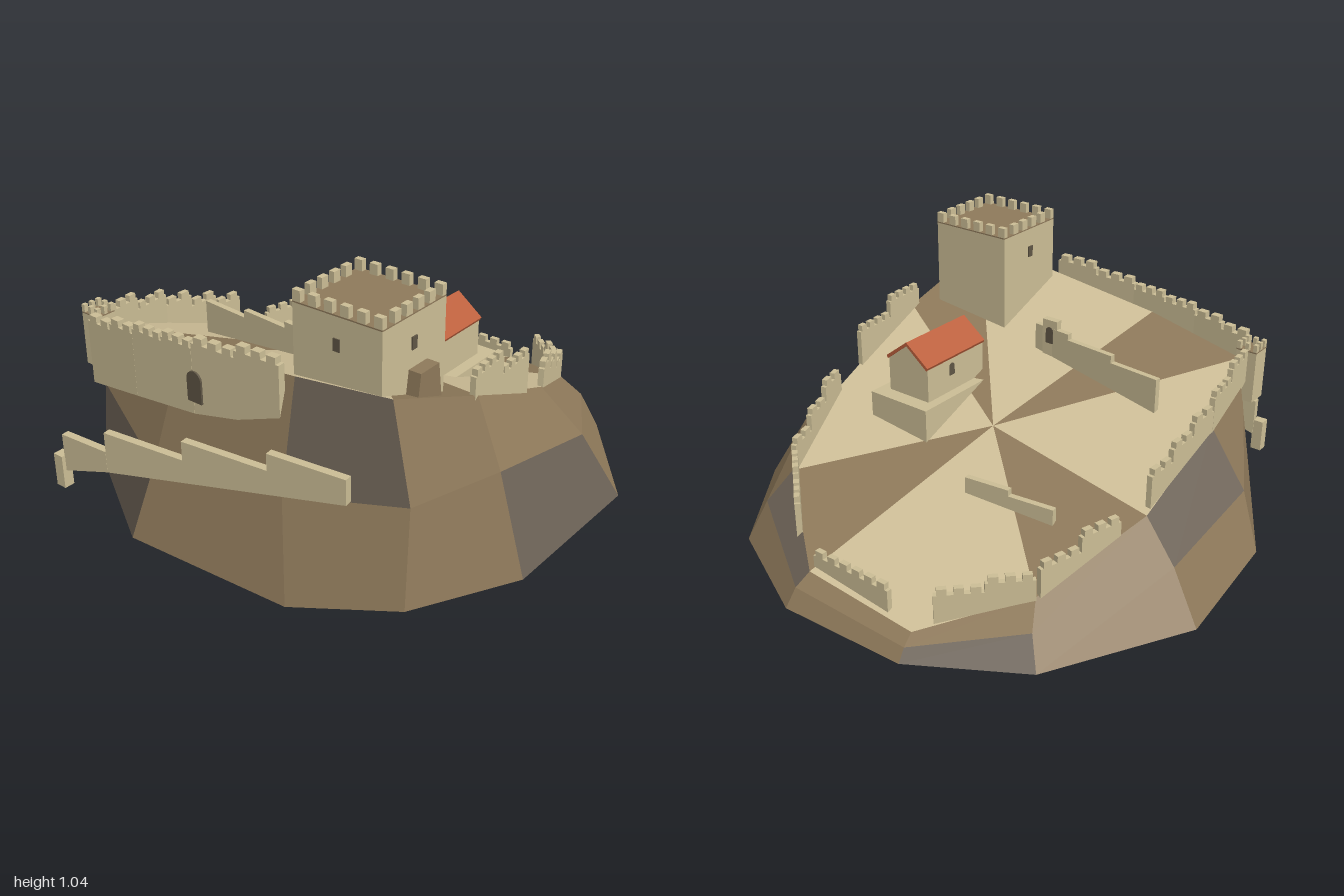
import * as THREE from 'three';

const mat = (name, color) => Object.assign(new THREE.MeshStandardMaterial({ color }), { name });
const earth = mat('earth', 0x8e795a);
const rock = mat('rock', 0x6b6155);
const sand = mat('sand', 0xcfbf98);
const stone = mat('stone', 0xcbbd95);
const dark = mat('opening', 0x5f5544);
const tile = mat('roofTile', 0xbb5f3c);

// Height of the sloping hilltop
const ground = (x, z) => .438 + .11 * x + .38 * z;

function add(parent, name, geo, material, x = 0, y = 0, z = 0, ry = 0) {
  const m = new THREE.Mesh(geo, material);
  m.name = name;
  m.position.set(x, y, z);
  m.rotation.y = ry;
  parent.add(m);
  return m;
}
// box given by its limits
function block(parent, name, material, x0, x1, y0, y1, z0, z1) {
  return add(parent, name, new THREE.BoxGeometry(x1 - x0, y1 - y0, z1 - z0), material,
    (x0 + x1) / 2, (y0 + y1) / 2, (z0 + z1) / 2);
}
function poly(points) {
  return new THREE.Shape(points.map(([x, y]) => new THREE.Vector2(x, y)));
}
const extrude = (shape, depth) => new THREE.ExtrudeGeometry(shape, { depth, bevelEnabled: false, curveSegments: 6 });
function arch(w, h, depth) {
  const s = new THREE.Shape();
  s.moveTo(-w / 2, 0);
  s.lineTo(w / 2, 0);
  s.lineTo(w / 2, h - w / 2);
  s.absarc(0, h - w / 2, w / 2, 0, Math.PI, false);
  return extrude(s, depth);
}

// Hill: three rings of twelve points, one flat normal per facet, with a sloping fan on top
function hill(parent) {
  const base = [[-1, 0, -.2], [-.7, 0, -.74], [-.3, 0, -.98], [.23, 0, -1], [.68, 0, -.78], [1, 0, -.35],
    [.98, 0, .32], [.76, 0, .71], [.43, 0, .935], [-.26, 0, .98], [-.71, 0, .71], [-.94, 0, .365]];
  const mid = [[-.875, .19, -.165], [-.63, .095, -.67], [-.295, .045, -.945], [.22, .07, -.955], [.63, .16, -.71],
    [.865, .26, -.27], [.86, .385, .31], [.76, .4, .69], [.37, .38, .865], [-.25, .25, .86], [-.67, .38, .7], [-.865, .25, .36]];
  const rim = [[-.72, -.11], [-.57, -.57], [-.28, -.89], [.2, -.9], [.58, -.61], [.71, -.21],
    [.745, .29], [.7, .71], [.33, .74], [-.2, .73], [-.64, .68], [-.715, .34]].map(([x, z]) => [x, ground(x, z), z]);
  const peak = [.02, ground(.02, -.06), -.06], under = [0, 0, 0];
  const parts = { earth: [[], []], rock: [[], []], sand: [[], []] };
  const vec = (p, q) => new THREE.Vector3(q[0] - p[0], q[1] - p[1], q[2] - p[2]);
  const face = (key, normal, ...corners) => corners.forEach(c => {
    parts[key][0].push(...c);
    parts[key][1].push(normal.x, normal.y, normal.z);
  });
  const tri = (key, a, b, c) => face(key, vec(a, b).cross(vec(a, c)).normalize(), a, b, c);
  const quad = (key, a, b, c, d) => face(key, vec(a, c).cross(vec(b, d)).normalize(), a, b, c, a, c, d);
  for (let i = 0; i < 12; i++) {
    const j = (i + 1) % 12;
    quad([1, 5, 9].includes(i) ? 'rock' : 'earth', base[j], base[i], mid[i], mid[j]);
    quad([3, 7, 11].includes(i) ? 'rock' : 'earth', mid[j], mid[i], rim[i], rim[j]);
    tri(i % 3 === 0 ? 'earth' : 'sand', peak, rim[j], rim[i]);
    tri('rock', under, base[i], base[j]);
  }
  for (const [key, m] of [['earth', earth], ['rock', rock], ['sand', sand]]) {
    const g = new THREE.BufferGeometry();
    g.setAttribute('position', new THREE.Float32BufferAttribute(parts[key][0], 3));
    g.setAttribute('normal', new THREE.Float32BufferAttribute(parts[key][1], 3));
    add(parent, key + 'Hill', g, m);
  }
}

// Battlemented wall through points [x, z, top, bottom], its top rising in level steps
function wall(parent, name, pts, thick = .022) {
  const g = new THREE.Group();
  g.name = name;
  for (let k = 0; k + 1 < pts.length; k++) {
    const [x0, z0, t0, b0] = pts[k], [x1, z1, t1, b1] = pts[k + 1];
    const len = Math.hypot(x1 - x0, z1 - z0), n = Math.round(len / .155), step = len / n;
    const part = new THREE.Group();
    part.position.set(x0, 0, z0);
    part.rotation.y = -Math.atan2(z1 - z0, x1 - x0);
    g.add(part);
    for (let i = 0; i < n; i++) {
      const a = i * step, b = a + step, top = t0 + (t1 - t0) * (i + .5) / n;
      const low = s => b0 + (b1 - b0) * s / len;
      add(part, 'wallBody', extrude(poly([[a, low(a)], [b, low(b)], [b, top - .025], [a, top - .025]]), thick),
        stone, 0, 0, -thick / 2);
      const count = Math.round(step / .055), pitch = step / count;
      for (let m = 0; m < count; m++)
        add(part, 'merlon', new THREE.BoxGeometry(pitch * .6, .03, thick), stone, a + (m + .5) * pitch, top - .015, 0);
    }
  }
  parent.add(g);
}

// Plain wall with a given side outline, laid from (x0,z0) to (x1,z1)
function plainWall(parent, name, x0, z0, x1, z1, outline, thick = .024) {
  const len = Math.hypot(x1 - x0, z1 - z0);
  const geo = extrude(poly(outline.map(([t, y]) => [t * len, y])), thick);
  geo.translate(0, 0, -thick / 2);
  return add(parent, name, geo, stone, x0, 0, z0, -Math.atan2(z1 - z0, x1 - x0));
}

// Merlons along the four sides of a square top
function battlements(parent, x0, x1, z0, z1, y0, y1, n, t) {
  const cx = (x0 + x1) / 2, cz = (z0 + z1) / 2, w = x1 - x0, d = z1 - z0;
  for (let i = 0; i < n; i++) {
    const s = i / (n - 1) - .5, m = w / n * .55;
    for (const e of [-1, 1]) {
      add(parent, 'merlon', new THREE.BoxGeometry(m, y1 - y0, t), stone, cx + s * (w - m), (y0 + y1) / 2, cz + e * (d - t) / 2);
      if (i > 0 && i < n - 1)
        add(parent, 'merlon', new THREE.BoxGeometry(t, y1 - y0, m), stone, cx + e * (w - t) / 2, (y0 + y1) / 2, cz + s * (d - m));
    }
  }
}

function keep(parent) {
  const g = new THREE.Group();
  g.name = 'keep';
  parent.add(g);
  const [x0, x1, z0, z1] = [.3, .657, .37, .71];
  block(g, 'keepBody', stone, x0, x1, .5, 1, z0, z1);
  block(g, 'keepFloor', earth, x0, x1, 1, 1.005, z0, z1);
  battlements(g, x0, x1, z0, z1, 1.005, 1.045, 6, .022);
  // windows on three sides
  block(g, 'keepWindow', dark, .467, .493, .88, .925, z1 - .005, z1 + .004);
  for (const x of [x0, x1]) block(g, 'keepWindow', dark, x - .005, x + .005, .88, .925, .532, .558);
  // tapered porch on the side
  const porch = extrude(poly([[-.075, .64], [.075, .64], [.05, .815], [-.05, .815]]), .05);
  add(g, 'porch', porch, earth, .655, 0, .52, Math.PI / 2);
}

function hall(parent) {
  const g = new THREE.Group();
  g.name = 'hall';
  parent.add(g);
  block(g, 'plinth', stone, .2, .485, .3, .5, -.25, .105);
  const gable = extrude(poly([[-.1, .45], [.1, .45], [.1, .645], [0, .72], [-.1, .645]]), .335);
  add(g, 'hallBody', gable, stone, .34, 0, -.187);
  const roof = extrude(poly([[-.106, .65], [-.1, .638], [0, .717], [.1, .638], [.106, .65], [0, .732]]), .35);
  add(g, 'hallRoof', roof, tile, .34, 0, -.195);
  add(g, 'hallWindow', arch(.028, .05, .008), dark, .236, .57, -.045, Math.PI / 2);
}

export function createModel() {
  const model = new THREE.Group();
  model.name = 'hilltopCastle';
  hill(model);
  keep(model);
  hall(model);

  // Outer ring of walls
  wall(model, 'frontWall', [[-.635, .765, .7, .43], [-.38, .78, .75, .465], [-.08, .787, .785, .5], [.3, .77, .84, .58]], .03);
  wall(model, 'leftRearWall', [[.735, .31, .765, .54], [.715, -.075, .625, .4]]);
  wall(model, 'leftBackWall', [[.7, -.22, .56, .36], [.575, -.6, .37, .2]]);
  wall(model, 'leftCornerWall', [[.57, -.6, .385, .2], [.35, -.8, .3, .11]]);
  wall(model, 'backWall', [[.2, -.865, .2, .07], [-.16, -.865, .2, .05]]);
  wall(model, 'rightCornerWall', [[-.32, -.82, .21, .05], [-.57, -.57, .28, .11]]);
  wall(model, 'rightBackWall', [[-.575, -.56, .27, .11], [-.675, -.22, .39, .23]]);
  wall(model, 'rightWall', [[-.705, -.08, .46, .27], [-.715, .33, .61, .43], [-.675, .66, .71, .55]]);

  // Corner turret
  block(model, 'turret', stone, -.723, -.637, .465, .675, .65, .733);
  block(model, 'turretFloor', earth, -.723, -.637, .675, .68, .65, .733);
  battlements(model, -.723, -.637, .65, .733, .68, .71, 3, .018);

  // Gate in the front wall
  add(model, 'gate', arch(.066, .12, .012), dark, -.07, .55, .796);

  // Inner walls
  plainWall(model, 'innerBackWall', -.45, -.3, -.08, -.345,
    [[0, .23], [1, .25], [1, .36], [.5, .36], [.5, .335], [0, .335]]);
  plainWall(model, 'innerFrontWall', -.495, .3, .115, .355,
    [[0, .44], [1, .5], [1, .69], [.72, .69], [.72, .665], [.36, .665], [.36, .635], [0, .635]]);
  block(model, 'innerGate', stone, .005, .075, .56, .725, .335, .365);
  add(model, 'innerGateOpening', arch(.035, .07, .036), dark, .04, .625, .332);

  // Stepped ramp wall up the front, with its end post
  plainWall(model, 'lowerRampWall', -.6, .967, -.38, .952, [[0, .155], [1, .225], [1, .31], [0, .31]], .03);
  plainWall(model, 'upperRampWall', -.38, .952, .62, .83,
    [[0, .225], [1, .435], [1, .53], [.7, .53], [.7, .465], [.35, .465], [.35, .39], [0, .39]], .03);
  block(model, 'rampPost', stone, -.642, -.597, .085, .22, .955, .997);

  return model;
}
